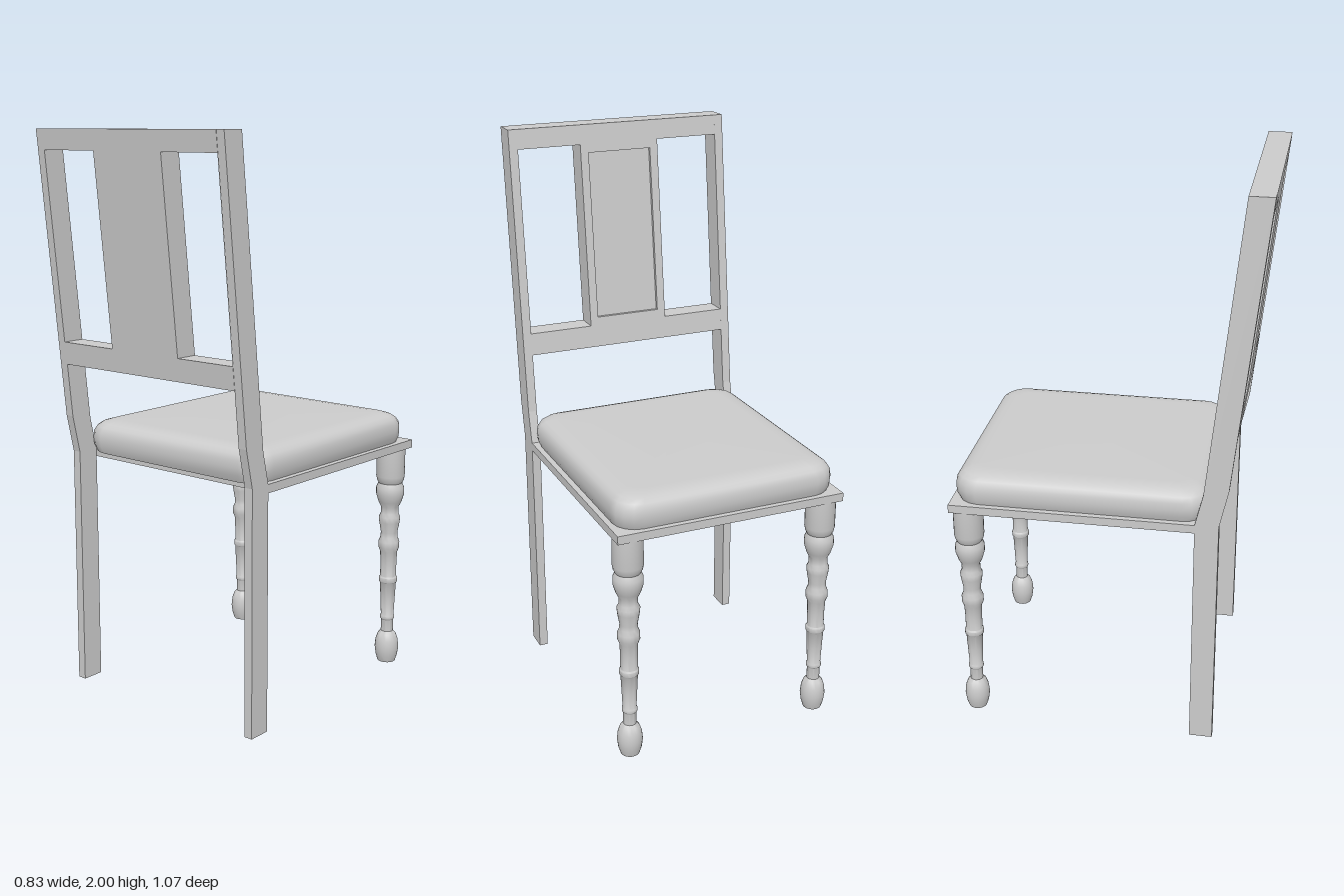
import * as THREE from 'three';
import { toCreasedNormals } from 'three/addons/utils/BufferGeometryUtils.js';

const material = new THREE.MeshStandardMaterial({ color: 0xcccccc });

function add(parent, name, geometry, x = 0, y = 0, z = 0) {
  const mesh = new THREE.Mesh(geometry, material);
  mesh.name = name;
  mesh.position.set(x, y, z);
  parent.add(mesh);
  return mesh;
}

function polygon(points, Type = THREE.Shape) {
  return new Type(points.map(([x, y]) => new THREE.Vector2(x, y)));
}

function rect(x0, y0, x1, y1, Type) {
  return polygon([[x0, y0], [x1, y0], [x1, y1], [x0, y1]], Type);
}

// Flat layer of the backrest, leaned back by shifting z with height
function leaningLayer(holes, depth, front) {
  const shape = rect(-0.385, 1.19, 0.385, 2);
  shape.holes = holes;
  const geometry = new THREE.ExtrudeGeometry(shape, { depth, bevelEnabled: false });
  const p = geometry.attributes.position;
  for (let i = 0; i < p.count; i++) {
    p.setZ(i, p.getZ(i) + front + 0.345 + (p.getY(i) - 0.98) * 0.107);
  }
  geometry.computeVertexNormals();
  return geometry;
}

// Rounded-rectangle loops stacked upward and closed with a top cap
function cushionGeometry() {
  const levels = [[0.86, 0.012], [0.885, 0.002], [0.91, 0], [0.935, 0.002], [0.953, 0.012],
    [0.965, 0.028], [0.972, 0.05], [0.976, 0.085]];
  const halfX = 0.405, halfZ = 0.4425, centreZ = -0.0825, steps = 4;
  const n = 4 * (steps + 1);
  const positions = [], index = [];
  for (const [y, inset] of levels) {
    const r = Math.max(0.085 - inset * 0.5, 0.03);
    for (let c = 0; c < 4; c++) {
      const sx = c === 0 || c === 3 ? 1 : -1;
      const sz = c < 2 ? 1 : -1;
      for (let s = 0; s <= steps; s++) {
        const a = (c + s / steps) * Math.PI / 2;
        positions.push(sx * (halfX - inset - r) + r * Math.cos(a), y,
          centreZ + sz * (halfZ - inset - r) + r * Math.sin(a));
      }
    }
  }
  for (let i = 0; i < levels.length - 1; i++) {
    for (let j = 0; j < n; j++) {
      const a = i * n + j, b = i * n + (j + 1) % n;
      index.push(a, a + n, b, b, a + n, b + n);
    }
  }
  const top = (levels.length - 1) * n, centre = levels.length * n;
  positions.push(0, 0.977, centreZ);
  for (let j = 0; j < n; j++) index.push(centre, top + (j + 1) % n, top + j);
  const geometry = new THREE.BufferGeometry();
  geometry.setAttribute('position', new THREE.Float32BufferAttribute(positions, 3));
  geometry.setIndex(index);
  geometry.computeVertexNormals();
  return geometry;
}

// Turned leg: radius and height pairs from foot to seat
function turnedLegGeometry() {
  const profile = [
    [0, 0], [0.033, 0], [0.041, 0.025], [0.045, 0.055], [0.042, 0.085], [0.034, 0.108],
    [0.023, 0.12], [0.023, 0.165], [0.027, 0.17], [0.027, 0.18], [0.024, 0.185],
    [0.027, 0.25], [0.03, 0.312], [0.034, 0.317], [0.034, 0.333], [0.03, 0.338],
    [0.03, 0.39], [0.032, 0.435], [0.039, 0.452], [0.039, 0.475], [0.032, 0.492],
    [0.031, 0.51], [0.038, 0.55], [0.04, 0.57], [0.033, 0.585], [0.033, 0.61],
    [0.043, 0.63], [0.052, 0.66], [0.052, 0.685], [0.044, 0.703], [0.05, 0.715],
    [0.053, 0.73], [0.053, 0.84],
  ];
  const points = profile.map(([r, y]) => new THREE.Vector2(r, y));
  return toCreasedNormals(new THREE.LatheGeometry(points, 24), 0.7);
}

export function createModel() {
  const chair = new THREE.Group();
  chair.name = 'chair';

  // Rear legs running up into the leaning back posts
  const side = polygon([[0.318, 0], [0.4, 0], [0.4, 0.865], [0.43, 1], [0.537, 2],
    [0.454, 2], [0.345, 0.98], [0.318, 0.865]]);
  const post = new THREE.ExtrudeGeometry(side, { depth: 0.032, bevelEnabled: false });
  post.rotateY(-Math.PI / 2);
  post.translate(0.016, 0, 0);

  const leg = turnedLegGeometry();
  for (const s of [-1, 1]) {
    add(chair, 'backPost', post, s * 0.4, 0, 0);
    add(chair, 'turnedLeg', leg, s * 0.36, 0, -0.48);
  }

  // Backrest with two windows and a shallow recess in the central splat
  const back = new THREE.Group();
  back.name = 'backrest';
  chair.add(back);
  const windows = () => [-1, 1].map((s) =>
    rect(s * 0.267 - 0.117, 1.27, s * 0.267 + 0.117, 1.93, THREE.Path));
  const recess = rect(-0.12, 1.3, 0.12, 1.9, THREE.Path);
  add(back, 'backrestFace', leaningLayer([...windows(), recess], 0.012, 0));
  add(back, 'backrestFrame', leaningLayer(windows(), 0.072, 0.012));

  // Seat board and upholstered cushion
  add(chair, 'seatBoard', new THREE.BoxGeometry(0.832, 0.03, 0.853), 0, 0.85, -0.1085);
  add(chair, 'seatCushion', cushionGeometry());
  return chair;
}
